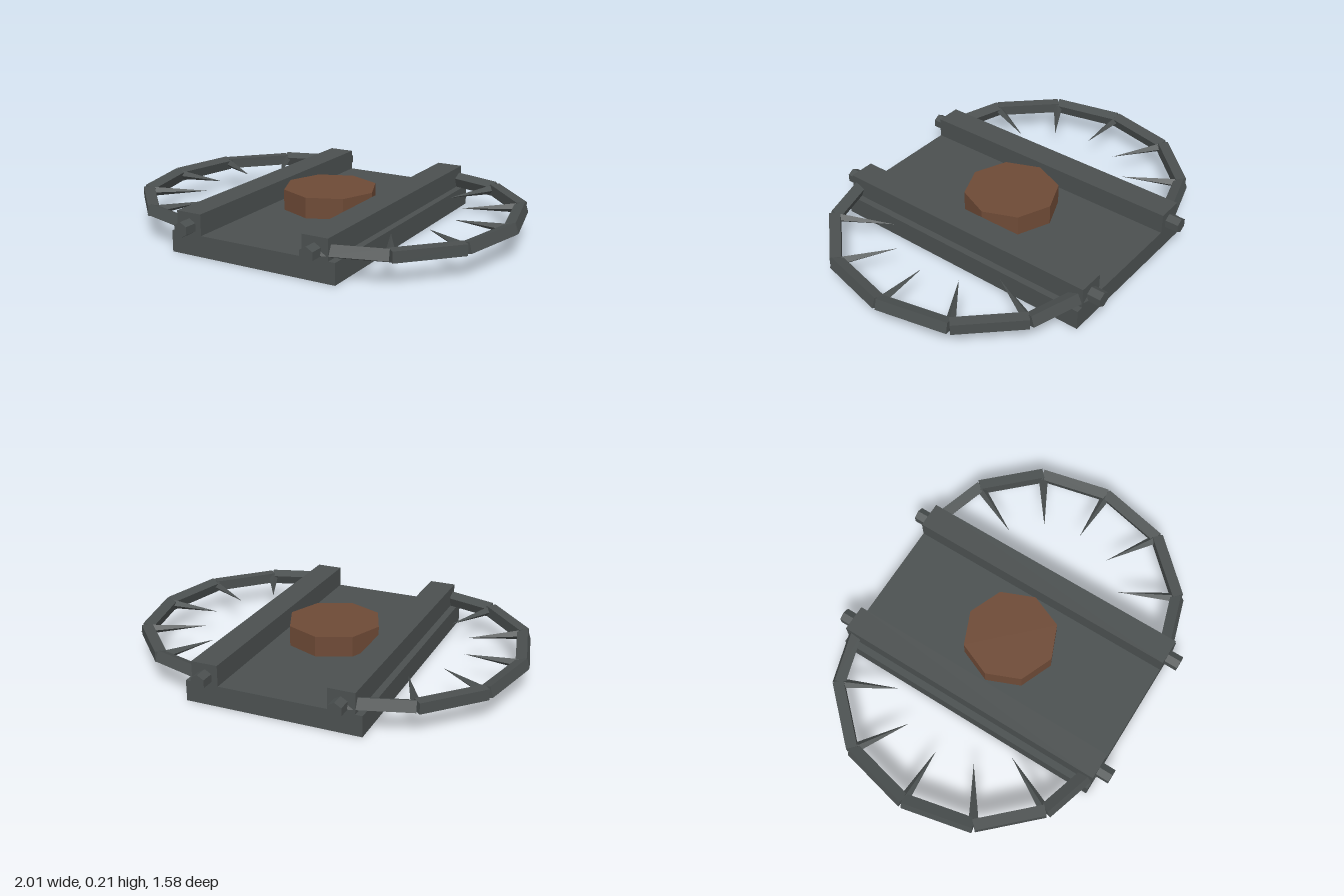
import * as THREE from 'three';

export function createModel() {
  const root = new THREE.Group();
  const iron = new THREE.MeshStandardMaterial({ color: 0x4b5050, flatShading: true });
  iron.name = 'dark iron';
  const rust = new THREE.MeshStandardMaterial({ color: 0x6e4a36, flatShading: true });
  rust.name = 'rusty brown';

  const add = (parent, name, geometry, material, x = 0, y = 0, z = 0) => {
    const mesh = new THREE.Mesh(geometry, material);
    mesh.name = name;
    mesh.position.set(x, y, z);
    parent.add(mesh);
    return mesh;
  };

  // Base slab and octagonal pressure plate
  add(root, 'base', new THREE.BoxGeometry(0.89, 0.105, 1.44), iron, 0, 0.0525, 0);
  add(root, 'pressurePlate', new THREE.CylinderGeometry(0.24, 0.24, 0.105, 8), rust, 0, 0.1575, 0);

  const jawY = 0.141;
  const railGeometry = new THREE.BoxGeometry(0.135, 0.105, 1.44);
  const pinGeometry = new THREE.CylinderGeometry(0.039, 0.039, 1.58, 6).rotateX(Math.PI / 2);

  // Half of a jaw arc as [x, z], from the middle to the rail
  const arc = [[0.972, 0], [0.893, 0.352], [0.652, 0.605], [0.36, 0.695]];
  const rolls = [0.3, 0, 0.4];
  // Tip of the tooth at each of the first three joints
  const tips = [[0.685, 0], [0.64, 0.19], [0.515, 0.33]];

  for (const side of [1, -1]) {
    const label = side > 0 ? 'left' : 'right';
    add(root, label + 'Rail', railGeometry, iron, side * 0.3425, 0.1575, 0);
    add(root, label + 'HingePin', pinGeometry, iron, side * 0.34, 0.143, 0);

    const jaw = new THREE.Group();
    jaw.name = label + 'Jaw';
    root.add(jaw);

    for (const end of [1, -1]) {
      const place = ([x, z]) => new THREE.Vector3(side * x, jawY, end * z);

      // Square bars, each rolled a little about its length
      rolls.forEach((roll, i) => {
        const a = place(arc[i]), b = place(arc[i + 1]);
        const bar = add(jaw, 'jawBar', new THREE.BoxGeometry(0.055, 0.055, a.distanceTo(b))
          .rotateZ(roll * side * end), iron);
        bar.position.copy(a).lerp(b, 0.5);
        bar.lookAt(b);
      });

      // Pointed teeth, the middle one built once
      tips.forEach((tip, i) => {
        if (i === 0 && end < 0) return;
        const a = place(arc[i]), b = place(tip);
        const length = a.distanceTo(b);
        const tooth = add(jaw, 'tooth', new THREE.ConeGeometry(0.026, length, 4)
          .rotateX(Math.PI / 2), iron);
        tooth.position.copy(a).lerp(b, 0.5);
        tooth.lookAt(b);
      });
    }
  }
  return root;
}
